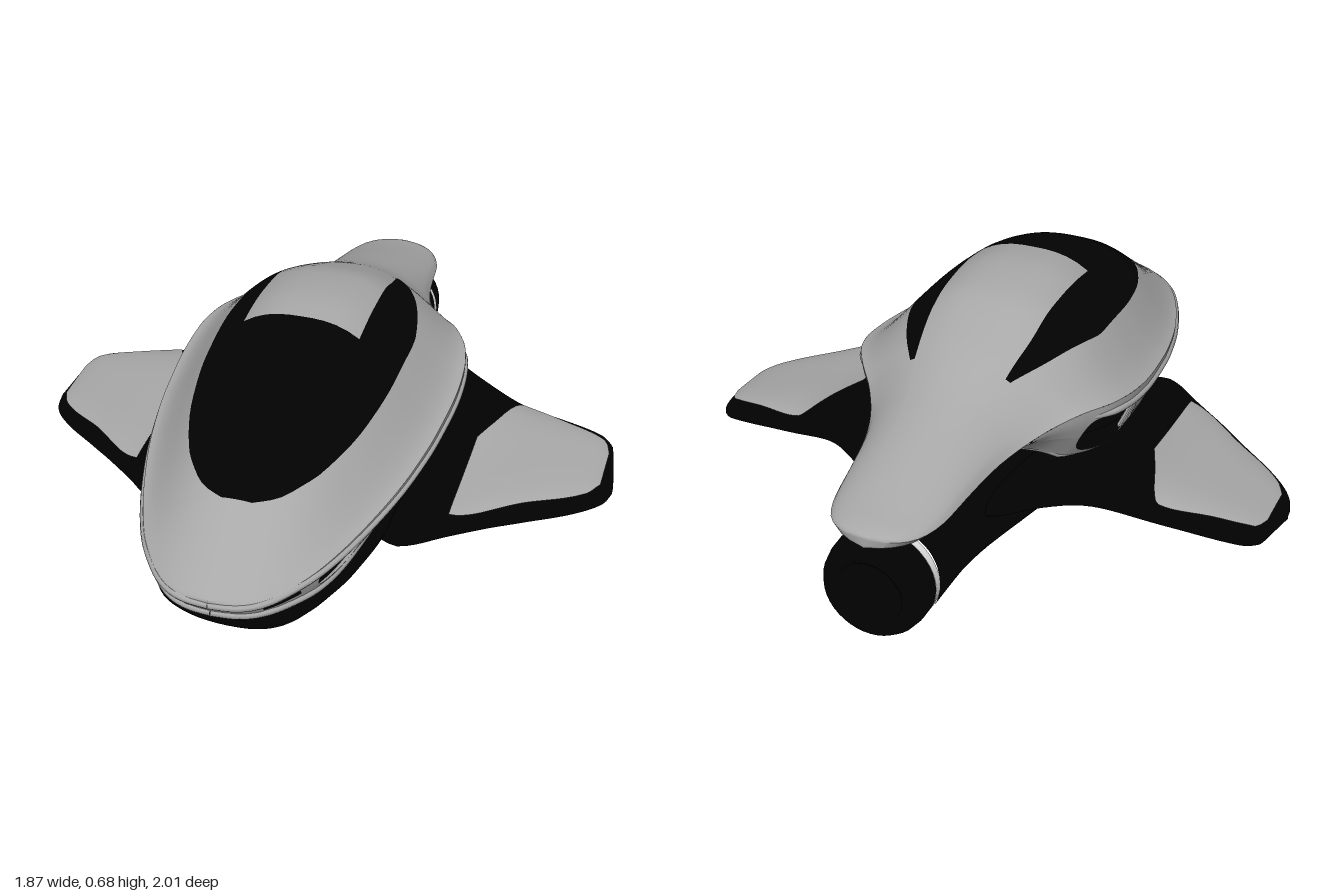
import * as THREE from 'three';
import { mergeVertices } from 'three/addons/utils/BufferGeometryUtils.js';

// Smooth monotone curve through [position, value] pairs
function curve(...pts) {
  const p = pts.sort((a, b) => a[0] - b[0]), n = p.length;
  const d = p.slice(1).map((q, i) => (q[1] - p[i][1]) / (q[0] - p[i][0]));
  const m = p.map((_, i) => {
    if (i === 0) return d[0];
    if (i === n - 1) return d[n - 2];
    return d[i - 1] * d[i] <= 0 ? 0 : (2 * d[i - 1] * d[i]) / (d[i - 1] + d[i]);
  });
  return (x) => {
    if (x <= p[0][0]) return p[0][1];
    if (x >= p[n - 1][0]) return p[n - 1][1];
    let i = 0;
    while (x > p[i + 1][0]) i++;
    const h = p[i + 1][0] - p[i][0], t = (x - p[i][0]) / h, s = 1 - t;
    return p[i][1] * (1 + 2 * t) * s * s + m[i] * h * t * s * s
      + p[i + 1][1] * t * t * (3 - 2 * t) - m[i + 1] * h * t * t * s;
  };
}

// Grid surface from f(i, j); its front is du x dv. pick(i, j) chooses a material slot.
function surface(f, nu, nv, pick) {
  const pos = [], sets = [[], []];
  for (let i = 0; i <= nu; i++) for (let j = 0; j <= nv; j++) pos.push(...f(i, j));
  for (let i = 0; i < nu; i++) for (let j = 0; j < nv; j++) {
    const a = i * (nv + 1) + j, b = a + nv + 1;
    sets[pick ? pick(i, j) : 0].push(a, b, b + 1, a, b + 1, a + 1);
  }
  const g = new THREE.BufferGeometry();
  g.setAttribute('position', new THREE.Float32BufferAttribute(pos, 3));
  g.setIndex([...sets[0], ...sets[1]]);
  if (pick) {
    g.addGroup(0, sets[0].length, 0);
    g.addGroup(sets[0].length, sets[1].length, 1);
  }
  const merged = mergeVertices(g, 1e-5);
  merged.computeVertexNormals();
  return merged;
}

function mirrored(geo) {
  const g = geo.clone(), ix = g.index.array;
  g.attributes.position.applyMatrix4(new THREE.Matrix4().makeScale(-1, 1, 1));
  for (let i = 0; i < ix.length; i += 3) [ix[i], ix[i + 1]] = [ix[i + 1], ix[i]];
  g.computeVertexNormals();
  return g;
}

const ease = (t) => (1 - Math.cos(Math.PI * t)) / 2;
const mix = THREE.MathUtils.lerp, step = THREE.MathUtils.smoothstep;

// Upper shell: half width, rim height, ridge height and section shape along z
const width = curve([1, 0], [0.995, 0.06], [0.98, 0.11], [0.95, 0.155], [0.9, 0.2], [0.8, 0.265], [0.6, 0.345],
  [0.4, 0.4], [0.2, 0.432], [0, 0.445], [-0.1, 0.44], [-0.2, 0.418], [-0.3, 0.365], [-0.4, 0.29], [-0.5, 0.235],
  [-0.6, 0.203], [-0.7, 0.186], [-0.85, 0.165], [-0.9, 0.15], [-0.94, 0.13], [-0.97, 0.1], [-0.99, 0.06], [-1, 0]);
const rim = curve([1, 0.222], [0.8, 0.262], [0.4, 0.33], [0, 0.395], [-0.2, 0.428], [-0.3, 0.436], [-0.4, 0.415],
  [-0.5, 0.392], [-0.7, 0.368], [-0.9, 0.352], [-1, 0.356]);
const ridge = curve([1, 0.232], [0.97, 0.255], [0.9, 0.3], [0.76, 0.4], [0.6, 0.51], [0.4, 0.61], [0.2, 0.67],
  [0.05, 0.685], [-0.1, 0.675], [-0.3, 0.61], [-0.5, 0.52], [-0.7, 0.455], [-0.9, 0.395], [-0.97, 0.378], [-1, 0.364]);
const power = curve([1, 2], [0.8, 2.3], [0.5, 2.7], [-0.1, 2.8], [-0.4, 2.2], [-0.6, 2]);
const roundness = curve([1, 0.7], [0.8, 1.3], [0.5, 1.75], [-0.1, 1.85], [-0.4, 1.1], [-0.6, 0.7], [-1, 0.6]);
// Inner and outer edges of the canopy glass
const glassIn = curve([0.757, 0.02], [0.18, 0.18], [-0.2, 0.17], [-0.38, 0.145]);
const glassOut = curve([0.757, 0.045], [0.74, 0.085], [0.72, 0.115], [0.7, 0.135], [0.6, 0.2], [0.4, 0.265],
  [0.2, 0.293], [0, 0.3], [-0.1, 0.285], [-0.2, 0.255], [-0.3, 0.21], [-0.38, 0.16]);

// Side wall under the rim; v runs from its foot (0) to the rim (1)
const foot = curve([1, 0.172], [-0.05, 0.178], [-0.15, 0.195], [-0.28, 0.245], [-0.36, 0.31], [-0.45, 0.365]);
const wallPoint = (z, v) => [
  width(z) * mix(mix(0.78, 0.94, step(z, 0.4, 0.9)), 1, Math.sin(v * Math.PI / 2)),
  mix(foot(z), rim(z), v),
  z - 0.025 * (1 - v) * step(z, 0.7, 1)];
// Openings: z start, z end, v low, v high
const openings = [[-0.29, -0.05, 0.18, 0.8], [0.01, 0.27, 0.18, 0.66], [0.36, 0.56, 0.2, 0.66], [0.62, 0.81, 0.22, 0.78]];

// Wing: front edge, rear edge, top and bottom along x
const wingFront = curve([0.1, 0.3], [0.25, 0.38], [0.35, 0.455], [0.38, 0.46], [0.42, 0.44], [0.5, 0.37], [0.7, 0.21],
  [0.87, 0.07], [0.92, 0], [0.935, -0.06]);
const wingRear = curve([0.1, -0.62], [0.2, -0.59], [0.3, -0.5], [0.45, -0.4], [0.6, -0.35], [0.85, -0.31],
  [0.9, -0.27], [0.92, -0.17], [0.935, -0.08]);
const wingTop = curve([0.1, 0.27], [0.25, 0.24], [0.36, 0.217], [0.45, 0.202], [0.55, 0.184], [0.7, 0.162],
  [0.85, 0.135], [0.9, 0.118], [0.935, 0.083]);
const wingBase = curve([0.1, 0.13], [0.33, 0.14], [0.6, 0.105], [0.935, 0.07]);
function wingY(x, z, top) {
  const f = wingFront(x), r = wingRear(x), s = Math.min(1, Math.abs(2 * z - f - r) / (f - r));
  const low = wingBase(x), edge = mix(low, wingTop(x), 0.3);
  const bulge = Math.sqrt(1 - s ** mix(2.5, 4, step(x, 0.35, 0.55)));
  const tilt = mix(0.09, 0.035, step(x, 0.35, 0.65)) * (0.5 - step(z, -0.4, 0.25));
  return mix(edge, top ? wingTop(x) : low, bulge) + tilt;
}
const panelFront = curve([0.5, 0.31], [0.52, 0.305], [0.7, 0.165], [0.87, 0.03], [0.9, -0.03]);
const panelRear = curve([0.5, -0.06], [0.53, -0.14], [0.6, -0.31], [0.75, -0.28], [0.88, -0.245], [0.9, -0.19]);

// Hull: half width, bottom and top along z
const hullWidth = curve([0.975, 0], [0.96, 0.1], [0.9, 0.18], [0.8, 0.24], [0.6, 0.315], [0.4, 0.345], [0.2, 0.35],
  [0, 0.34], [-0.2, 0.3], [-0.4, 0.24], [-0.6, 0.18], [-0.7, 0.165], [-0.868, 0.159]);
const hullBase = curve([0.975, 0.16], [0.94, 0.13], [0.9, 0.08], [0.85, 0.03], [0.8, 0.01], [0.74, 0], [-0.868, 0.001]);
const hullTop = curve([0.975, 0.172], [0.35, 0.178], [0.27, 0.28], [0.1, 0.33], [-0.2, 0.345], [-0.45, 0.372],
  [-0.6, 0.365], [-0.75, 0.345], [-0.868, 0.319]);

export function createModel() {
  const model = new THREE.Group();
  const mat = (name, color) => Object.assign(new THREE.MeshStandardMaterial({ color }), { name });
  const grey = mat('shell grey', 0xa8a8a8), black = mat('hull black', 0x010101);
  const glass = mat('canopy glass', 0x020202), silver = mat('ring silver', 0xffffff);
  grey.side = THREE.DoubleSide;
  const add = (name, geo, material) => {
    const mesh = new THREE.Mesh(geo, material);
    mesh.name = name;
    model.add(mesh);
  };
  const pair = (name, geo, material) => {
    add('left' + name, geo, material);
    add('right' + name, mirrored(geo), material);
  };

  // Upper shell with the glass let into it
  const breaks = [-1, -0.38, 0.18, 0.757, 1], N = 24;
  const rows = [-1];
  for (let k = 0; k < 4; k++) for (let i = 1; i <= N; i++) rows.push(mix(breaks[k], breaks[k + 1], ease(i / N)));
  const cols = [[0, 0]];
  [10, 6, 10, 6, 10].forEach((n, b) => { for (let i = 1; i <= n; i++) cols.push([b, i / n]); });
  const shellPoint = (i, j) => {
    const z = rows[i], zc = THREE.MathUtils.clamp(z, -0.38, 0.757);
    const a = glassIn(zc) / width(zc), b = glassOut(zc) / width(zc);
    const edges = [-1, -b, -a, a, b, 1], [band, t] = cols[j];
    const u = mix(edges[band], edges[band + 1], t);
    const rise = Math.max(0, 1 - Math.abs(u) ** power(z)) ** roundness(z);
    return [u * width(z), mix(rim(z), ridge(z), rise), z];
  };
  const isGlass = (i, j) => {
    const band = cols[j + 1][0];
    if (i < N || i >= 3 * N || band === 0 || band === 4) return 0;
    return i >= 2 * N || band !== 2 ? 1 : 0;
  };
  add('upperShell', surface(shellPoint, rows.length - 1, cols.length - 1, isGlass), [grey, glass]);
  add('shellUnderside', surface((i, j) => {
    const z = rows[j], u = i / 8 - 1, depth = mix(0.028, 0.015, step(z, -0.5, -0.2));
    return [u * width(z), rim(z) - depth * Math.sqrt(Math.max(0, 1 - u ** 4)), z];
  }, 16, rows.length - 1), grey);

  // Side walls with rounded openings, split into a lower and an upper band
  const wallRows = [];
  for (let i = 0; i <= 40; i++) wallRows.push(mix(-0.45, 1, i / 40));
  for (const [a, b] of openings) for (let i = 0; i <= 20; i++) wallRows.push(mix(a, b, ease(i / 20)));
  wallRows.push(0.975, 0.985, 0.992, 0.997);
  wallRows.sort((a, b) => a - b);
  const gap = (z) => {
    const o = openings.find(([a, b]) => z >= a && z <= b);
    if (!o) return [0.45, 0.45];
    const s = (2 * z - o[0] - o[1]) / (o[1] - o[0]), mid = (o[2] + o[3]) / 2;
    const half = (o[3] - o[2]) / 2 * Math.sqrt(Math.max(0, 1 - s ** 8));
    return [mid - half, mid + half];
  };
  pair('WallLower', surface((i, j) => wallPoint(wallRows[j], gap(wallRows[j])[0] * i / 4), 4, wallRows.length - 1), grey);
  pair('WallUpper', surface((i, j) => wallPoint(wallRows[j], mix(gap(wallRows[j])[1], 1, i / 4)), 4, wallRows.length - 1), grey);

  // Rim bead, foot rail and nose slot follow the wall
  const rail = (v, z0, z1, radius, tuck) => {
    const pts = [];
    for (let i = 0; i <= 40; i++) {
      const p = new THREE.Vector3(...wallPoint(mix(z0, z1, Math.sin(i / 40 * Math.PI / 2)), v));
      p.x -= tuck * Math.max(0, 1 - i / 3);
      pts.push(p);
    }
    return new THREE.TubeGeometry(new THREE.CatmullRomCurve3(pts), 80, radius, 8);
  };
  pair('RimBead', rail(0.85, -0.36, 1, 0.011, 0.03), grey);
  pair('FootRail', rail(0.06, -0.4, 1, 0.011, 0.03), grey);
  pair('NoseSlot', rail(0.5, 0.87, 0.96, 0.005, 0), black);

  // Lower hull
  add('hull', surface((i, j) => {
    const z = mix(-0.868, 0.975, Math.sin(j / 70 * Math.PI / 2));
    const a = i / 48 * Math.PI * 2 - Math.PI / 2, c = Math.cos(a), s = Math.sin(a);
    const mid = Math.min(0.165, hullTop(z));
    return [hullWidth(z) * Math.sign(c) * Math.abs(c) ** 0.9,
      mix(mid, s > 0 ? hullTop(z) : hullBase(z), Math.abs(s) ** 0.9), z];
  }, 48, 70), black);

  // Wings and their top panels
  pair('Wing', surface((i, j) => {
    const x = mix(0.1, 0.935, Math.sin(i / 50 * Math.PI / 2)), a = j / 56 * Math.PI * 2;
    const f = wingFront(x), r = wingRear(x), z = (f + r) / 2 + Math.cos(a) * (f - r) / 2;
    return [x, wingY(x, z, Math.sin(a) > 0), z];
  }, 50, 56), black);
  pair('WingPanel', surface((i, j) => {
    const x = mix(0.5, 0.9, j / 36), z = mix(panelRear(x), panelFront(x), i / 30);
    return [x, wingY(x, z, true) + 0.007, z];
  }, 30, 36), grey);

  // Engine nozzle and its ring
  const nozzle = [[0.15, 0.86], [0.159, 0.892], [0.159, 0.93], [0.152, 0.965], [0.137, 0.99], [0.118, 1],
    [0.1, 0.985], [0.09, 0.92], [0, 0.92]].map(([r, h]) => new THREE.Vector2(r, h));
  add('engineNozzle', new THREE.LatheGeometry(nozzle, 40).rotateX(-Math.PI / 2).translate(0, 0.16, 0), black);
  add('engineRing', new THREE.CylinderGeometry(0.16, 0.16, 0.024, 40).rotateX(Math.PI / 2).translate(0, 0.16, -0.88), silver);
  return model;
}
